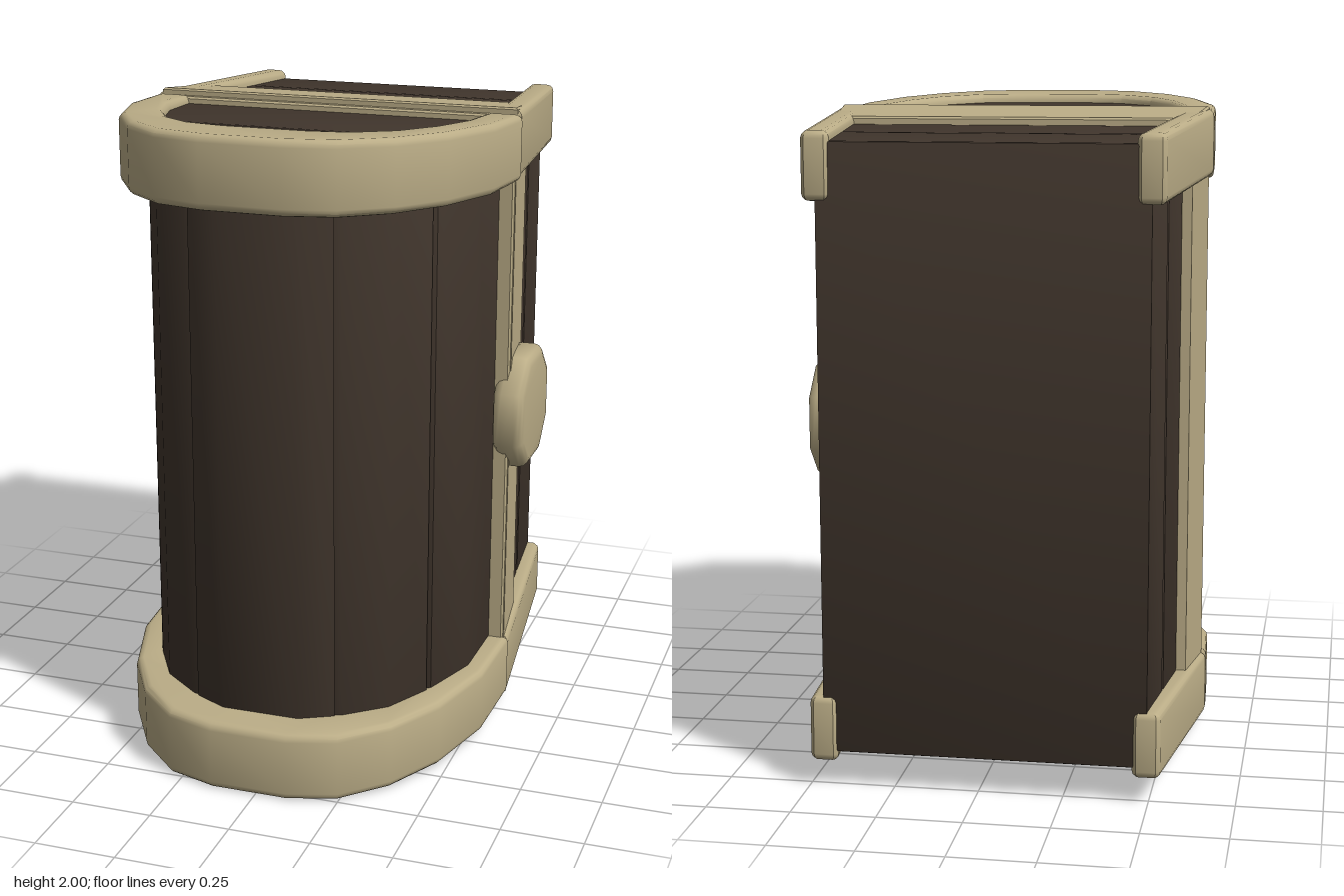
import * as THREE from 'three';
import { toCreasedNormals } from 'three/addons/utils/BufferGeometryUtils.js';

const wood = new THREE.MeshStandardMaterial({ color: 0x40352c });
const trim = new THREE.MeshStandardMaterial({ color: 0xbbad87 });

const flip = ([x, z]) => [-x, z];
const mirrorX = (half) => [...half, ...half.map(flip).reverse()];

// Extrudes an (x, z) outline along y from y0 to y1 (measured from mid height),
// with rounded edges, and scales the height along z by the given taper.
function slab(name, outline, y0, y1, bevel, taper, material, bevelSegments = 2) {
  const shape = new THREE.Shape(outline.map(([x, z]) => new THREE.Vector2(x, -z)));
  const geo = new THREE.ExtrudeGeometry(shape, {
    depth: y1 - y0 - 2 * bevel, bevelSize: bevel, bevelThickness: bevel,
    bevelOffset: -bevel, bevelSegments, steps: 1,
  });
  geo.rotateX(-Math.PI / 2);
  const p = geo.attributes.position;
  for (let i = 0; i < p.count; i++) {
    p.setY(i, 1 + (p.getY(i) + y0 + bevel) * (1 + taper * p.getZ(i)));
  }
  const mesh = new THREE.Mesh(toCreasedNormals(geo, 0.6), material);
  mesh.name = name;
  return mesh;
}

// Half outline of a plank layer whose joints (first and last point) are cut
// inwards, so that neighbouring layers leave a groove between them.
function grooved(half, first, last) {
  const joint = ([x, z], [nx, nz]) => {
    const k = 0.01 / Math.hypot(nx - x, nz - z);
    return [[x - 0.022, z], [x + (nx - x) * k, z + (nz - z) * k]];
  };
  const n = half.length - 1;
  return [
    ...(first ? joint(half[0], half[1]) : [half[0]]),
    ...half.slice(1, n),
    ...(last ? joint(half[n], half[n - 1]).reverse() : [half[n]]),
  ];
}

export function createModel() {
  const chest = new THREE.Group();
  chest.name = 'chest';
  const lid = new THREE.Group();
  lid.name = 'lid';
  const base = new THREE.Group();
  base.name = 'base';
  chest.add(lid, base);

  // Lid planks, layered outwards to the domed front
  const lidLayers = [
    [[0.53, -0.02], [0.52, 0.2], [0.445, 0.387]],
    [[0.445, 0.387], [0.36, 0.53], [0.23, 0.628]],
    [[0.23, 0.628], [0.12, 0.68]],
  ];
  lidLayers.forEach((half, i) =>
    lid.add(slab('lidPlank' + (i + 1), mirrorX(grooved(half, i > 0, i < 2)), -0.93, 0.93, 0.008, 0.058, wood)));

  // Arched straps at both ends of the lid
  const outer = [[0.59, -0.033], [0.575, 0.23], [0.503, 0.46], [0.4, 0.63], [0.27, 0.747], [0.12, 0.79]];
  const inner = [[0.12, 0.575], [0.235, 0.55], [0.34, 0.465], [0.415, 0.33], [0.465, 0.17], [0.48, -0.033]];
  const arch = [...mirrorX(outer), ...inner.map(flip).reverse(), ...inner];
  for (const [name, y0, y1] of [['upperLidStrap', 0.75, 0.956], ['lowerLidStrap', -0.956, -0.75]]) {
    lid.add(slab(name, arch, y0, y1, 0.022, 0.058, trim, 3));
  }

  // Base planks, tapering towards the floor of the chest
  const baseX = (z) => 0.54 + 0.083 * z;
  [[-0.04, -0.284], [-0.284, -0.527], [-0.527, -0.78]].forEach(([za, zb], i) => {
    const half = grooved([[baseX(za), za], [baseX(zb), zb]], i > 0, i < 2);
    base.add(slab('basePlank' + (i + 1), mirrorX(half), -0.935, 0.935, 0.008, 0.06, wood));
  });

  // Rim band around the mouth of the base, with a slightly lower lip
  base.add(slab('rimBand', mirrorX([[0.575, -0.037], [0.545, -0.287]]), -0.975, 0.975, 0.006, 0.12, trim, 1));
  base.add(slab('rimLip', mirrorX([[0.57, -0.014], [0.573, -0.05]]), -0.95, 0.95, 0.006, 0, trim, 1));

  // Straps along the four corners of the base
  const strap = [[0.588, -0.037], [0.515, -0.775], [0.503, -0.79], [0.445, -0.79], [0.433, -0.775], [0.505, -0.037]];
  for (const sx of [1, -1]) {
    for (const sy of [1, -1]) {
      const [y0, y1] = sy > 0 ? [0.758, 0.965] : [-0.965, -0.758];
      const name = (sy > 0 ? 'upper' : 'lower') + (sx > 0 ? 'Left' : 'Right') + 'CornerStrap';
      base.add(slab(name, strap.map(([x, z]) => [sx * x, z]), y0, y1, 0.022, 0.06, trim, 3));
    }
  }

  // Octagonal lock plate on the opening side
  const r = 0.18, c = 0.085;
  const octagon = [[r, -c], [r, c], [c, r], [-c, r], [-r, c], [-r, -c], [-c, -r], [c, -r]];
  const lockGeo = new THREE.ExtrudeGeometry(new THREE.Shape(octagon.map(([x, y]) => new THREE.Vector2(x, y))), {
    depth: 0.04, bevelSize: 0.03, bevelThickness: 0.03, bevelOffset: -0.03, bevelSegments: 3, steps: 1,
  });
  lockGeo.rotateY(Math.PI / 2);
  const lock = new THREE.Mesh(toCreasedNormals(lockGeo, 0.85), trim);
  lock.name = 'lockPlate';
  lock.position.set(0.56, 1.002, -0.157);
  base.add(lock);

  chest.position.x = -0.02;
  const model = new THREE.Group();
  model.name = 'model';
  model.add(chest);
  return model;
}
